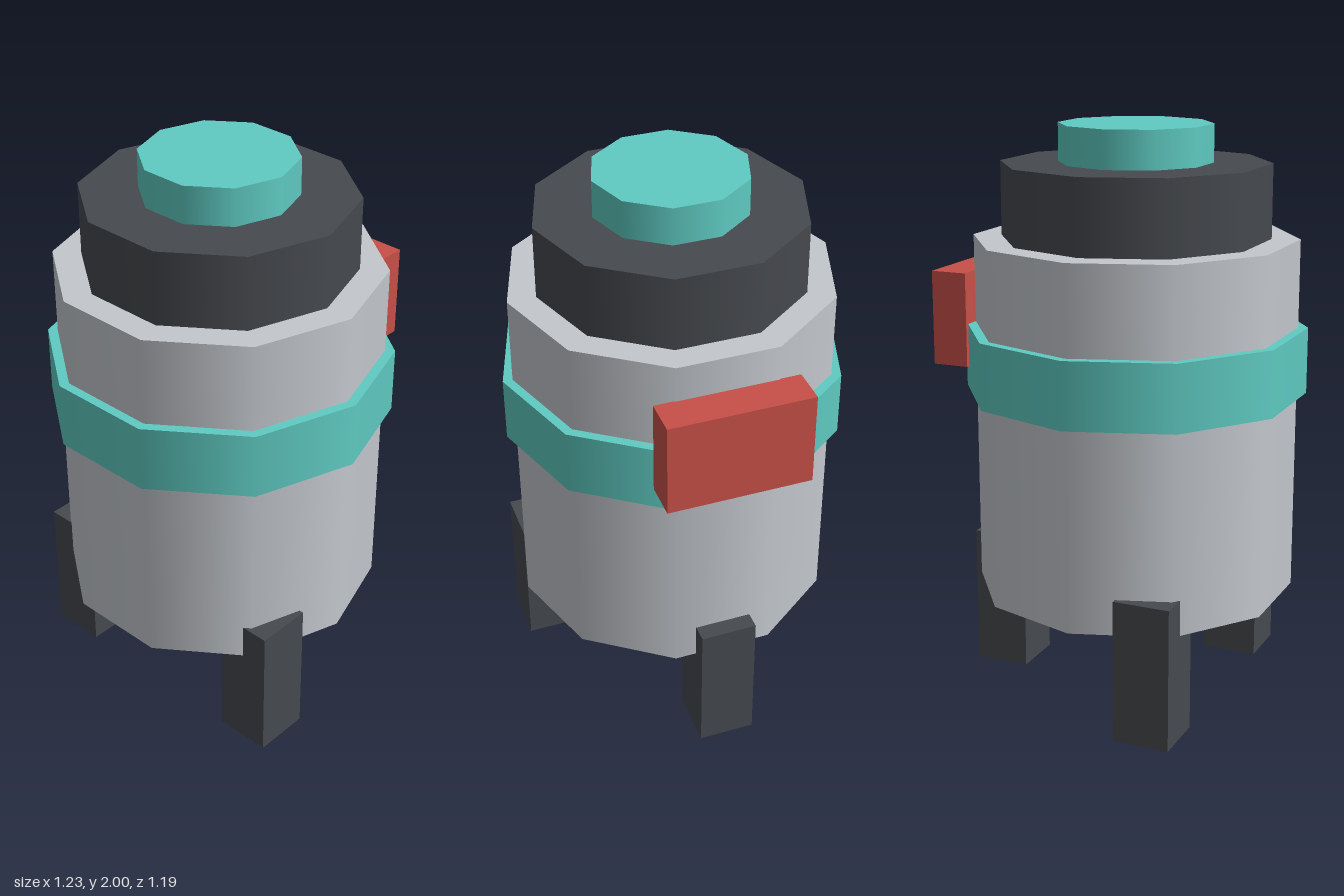
import * as THREE from 'three';

const SIDES = 10;
const AXIS_X = -0.05; // the body sits off-centre to balance the side box

const material = (name, color) => {
  const m = new THREE.MeshStandardMaterial({ color });
  m.name = name;
  return m;
};

export function createModel() {
  const group = new THREE.Group();
  group.name = 'canister';

  const grey = material('light grey', 0xc4c8cd);
  const dark = material('charcoal', 0x46494e);
  const teal = material('teal', 0x5fcbc2);
  const red = material('red', 0xc85048);

  const add = (name, geometry, mat, x, y, z) => {
    const mesh = new THREE.Mesh(geometry, mat);
    mesh.name = name;
    mesh.position.set(x, y, z);
    group.add(mesh);
  };

  // Ten-sided drum between two heights
  const drum = (name, radius, y0, y1, mat) =>
    add(name, new THREE.CylinderGeometry(radius, radius, y1 - y0, SIDES), mat, AXIS_X, (y0 + y1) / 2, 0);

  drum('body', 0.561, 0.375, 1.615, grey);
  drum('band', 0.595, 1.08, 1.31, teal);
  drum('collar', 0.463, 1.615, 1.87, dark);
  drum('topCap', 0.264, 1.87, 2, teal);

  // Box on the left side
  add('sideBox', new THREE.BoxGeometry(0.13, 0.33, 0.496), red, 0.545, 1.325, 0);

  // Three square legs spaced evenly round the body
  const legGeometry = new THREE.BoxGeometry(0.198, 0.5, 0.198);
  for (let i = 0; i < 3; i++) {
    const a = (i * Math.PI * 2) / 3;
    add(`leg${i + 1}`, legGeometry, dark, AXIS_X + 0.496 * Math.cos(a), 0.25, 0.496 * Math.sin(a));
  }

  return group;
}
